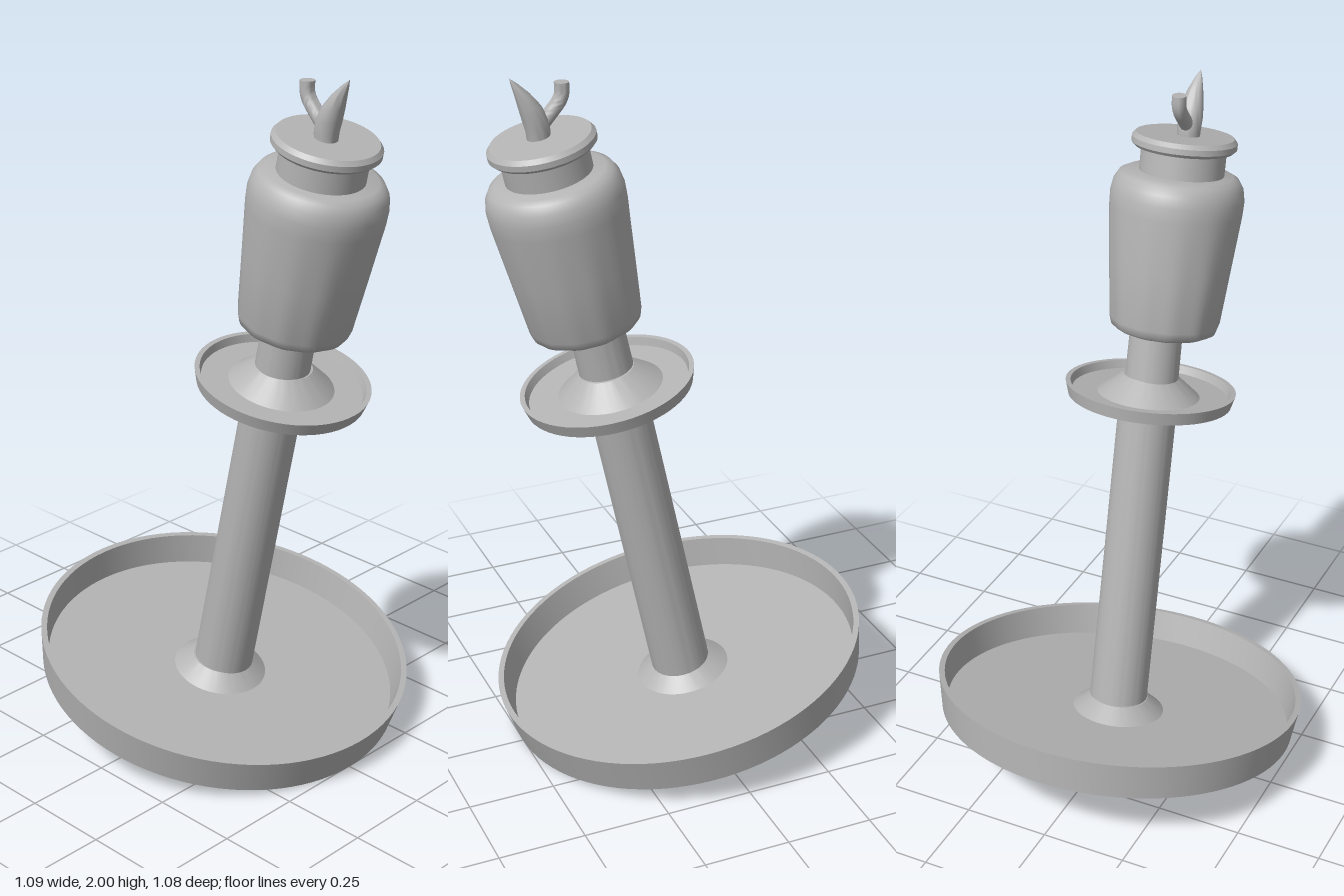
import * as THREE from 'three';
import { toCreasedNormals } from 'three/addons/utils/BufferGeometryUtils.js';

const grey = new THREE.MeshStandardMaterial({ color: 0xb4b4b4 });
grey.name = 'plain grey';

// Turned part from [radius, height] pairs, listed from the bottom axis up the outside
function turned(profile, segments = 64) {
  return new THREE.LatheGeometry(profile.map(([r, y]) => new THREE.Vector2(r, y)), segments);
}

function part(name, geometry, x = 0, z = 0, crease = 0.5) {
  const mesh = new THREE.Mesh(toCreasedNormals(geometry, crease), grey);
  mesh.name = name;
  mesh.position.set(x, 0, z);
  return mesh;
}

// Applies a rule to every vertex
function reshape(geometry, rule) {
  const p = geometry.attributes.position;
  const v = new THREE.Vector3();
  for (let i = 0; i < p.count; i++) {
    rule(v.fromBufferAttribute(p, i));
    p.setXYZ(i, v.x, v.y, v.z);
  }
  return geometry;
}

export function createModel() {
  const model = new THREE.Group();
  model.name = 'candlestick';

  // Everything except the flame is stacked along one leaning axis
  const stand = new THREE.Group();
  stand.name = 'leaningStand';
  stand.position.set(0, 0.112, -0.016);
  stand.rotation.x = THREE.MathUtils.degToRad(12.1);
  model.add(stand);

  // Wide tray with a raised rim
  stand.add(part('baseTray', turned([
    [0, 0], [0.53, 0], [0.547, 0.108], [0.53, 0.108], [0.515, 0.016], [0, 0.016],
  ], 96)));

  // Flared foot and long stem
  stand.add(part('stemFoot', turned([[0, 0.01], [0.136, 0.016], [0.085, 0.055], [0, 0.055]]), -0.002));
  stand.add(part('stem', turned([[0, 0.01], [0.086, 0.01], [0.084, 1.01], [0, 1.01]]), 0.003, 0.004));

  // Drip saucer with its raised cone and the narrow neck above
  stand.add(part('dripSaucer', turned([
    [0, 1.0], [0.236, 1.0], [0.246, 1.037], [0.232, 1.037], [0.225, 1.014], [0, 1.014],
  ]), 0.007, 0.021));
  stand.add(part('saucerCone', turned([[0, 1.01], [0.148, 1.014], [0.078, 1.072], [0, 1.072]]), 0.01, 0.016));
  stand.add(part('neck', turned([[0, 1.05], [0.077, 1.05], [0.075, 1.24], [0, 1.24]]), 0.004, 0.014));

  // Jar with shallow flutes that fade out towards the shoulder
  const jar = reshape(turned([
    [0, 1.208], [0.135, 1.208], [0.15, 1.217], [0.157, 1.24], [0.172, 1.4], [0.187, 1.56],
    [0.188, 1.6], [0.182, 1.632], [0.168, 1.655], [0.15, 1.664], [0, 1.668],
  ], 72), (v) => {
    const fade = THREE.MathUtils.clamp((1.6 - v.y) / 0.25, 0, 1);
    const k = 1 + 0.01 * fade * Math.cos(12 * Math.atan2(v.x, v.z));
    v.x *= k;
    v.z *= k;
  });
  stand.add(part('jar', jar, -0.009, 0.034, 0.9));

  // Collar and flat cap
  stand.add(part('collar', turned([[0, 1.65], [0.119, 1.65], [0.119, 1.745], [0, 1.745]]), -0.015, 0.034));
  stand.add(part('cap', turned([
    [0, 1.733], [0.138, 1.733], [0.147, 1.742], [0.147, 1.758], [0.137, 1.77], [0, 1.77],
  ]), -0.0145, 0.034));

  // Flame that curls forward to a point
  const flame = reshape(turned([
    [0, 1.8], [0.029, 1.8], [0.033, 1.85], [0.035, 1.885], [0.031, 1.92], [0.021, 1.955], [0.009, 1.985], [0, 2.0],
  ], 24), (v) => {
    const t = Math.max(0, (v.y - 1.82) / 0.18);
    v.z += 0.388 + 0.076 * t * t;
  });
  model.add(part('flame', flame, -0.024, 0, 0.9));

  // Bent wick behind the flame
  const path = new THREE.CatmullRomCurve3([
    [1.855, 0.39], [1.895, 0.355], [1.925, 0.33], [1.945, 0.322], [1.975, 0.322],
  ].map(([y, z]) => new THREE.Vector3(0, y, z)));
  model.add(part('wick', new THREE.TubeGeometry(path, 16, 0.02, 16), -0.024, 0, 0.9));
  const tip = new THREE.CircleGeometry(0.02, 16).rotateX(-Math.PI / 2).translate(0, 1.975, 0.322);
  model.add(part('wickTip', tip, -0.024));

  return model;
}
